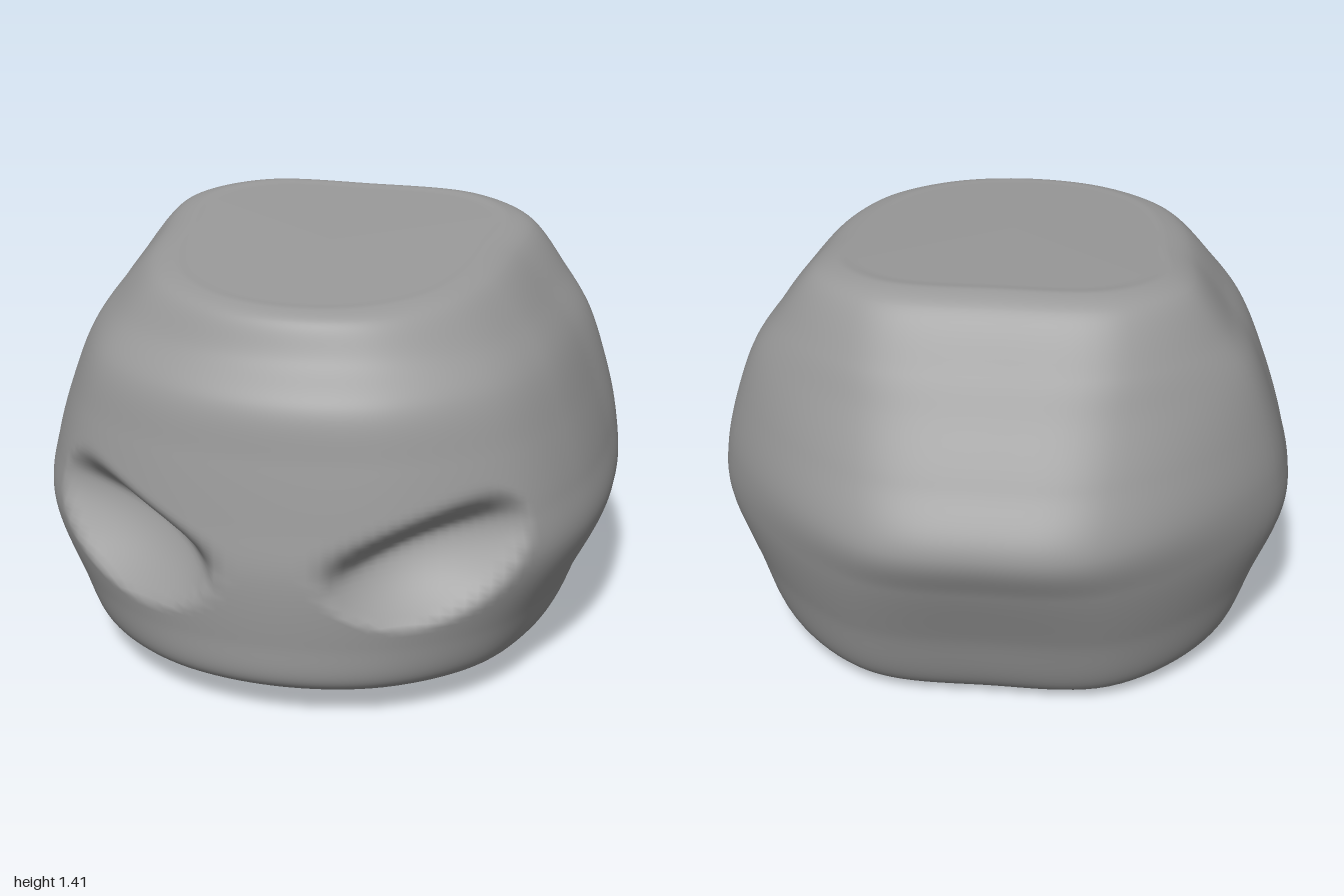
import * as THREE from 'three';

// Horizontal sections from bottom to top; pinch is the width at the rear end
// of the side face, corner the width of the back face, both relative to width
const SECTIONS = [
  { yFront: 0.085, yBack: 0, width: 0.67, front: 0.86, back: 0.64, pinch: 0.94, corner: 0.52 },
  { yFront: 0.145, yBack: 0.05, width: 0.8, front: 0.965, back: 0.735, pinch: 0.94, corner: 0.54 },
  { yFront: 0.3, yBack: 0.3, width: 0.895, front: 0.99, back: 0.84, pinch: 0.95, corner: 0.5 },
  { yFront: 0.53, yBack: 0.53, width: 0.99, front: 1, back: 0.94, pinch: 0.94, corner: 0.43 },
  { yFront: 0.7, yBack: 0.7, width: 0.965, front: 0.975, back: 1, pinch: 0.965, corner: 0.41 },
  { yFront: 0.9, yBack: 0.9, width: 0.905, front: 0.94, back: 0.89, pinch: 0.98, corner: 0.46 },
  { yFront: 1.08, yBack: 1.08, width: 0.83, front: 0.9, back: 0.775, pinch: 0.99, corner: 0.51 },
  { yFront: 1.2, yBack: 1.2, width: 0.745, front: 0.8, back: 0.7, pinch: 1, corner: 0.58 },
  { yFront: 1.31, yBack: 1.375, width: 0.62, front: 0.738, back: 0.575, pinch: 1.01, corner: 0.66 },
  { yFront: 1.335, yBack: 1.41, width: 0.54, front: 0.69, back: 0.5, pinch: 1.02, corner: 0.7 },
];
const COLUMNS = 144;
const STEPS = 12; // rows between neighbouring sections

// Smoothly closed outline: round front, flat sides, slanted rear corners
function sectionLoop({ yFront, yBack, width, front, back, pinch, corner }) {
  const half = [
    [0, front], [0.44 * width, 0.925 * front], [0.78 * width, 0.7 * front], [0.94 * width, 0.4 * front],
    [width, 0], [pinch * width, -Math.min(0.37, 0.6 * back)], [corner * width, -0.945 * back], [0, -back],
  ];
  const toPoint = (sign) => ([x, z]) =>
    new THREE.Vector3(sign * x, THREE.MathUtils.lerp(yBack, yFront, (z + back) / (front + back)), z);
  const left = half.map(toPoint(1));
  const right = half.slice(1, -1).reverse().map(toPoint(-1));
  const curve = new THREE.CatmullRomCurve3([...left, ...right], true);
  return Array.from({ length: COLUMNS }, (_, i) => curve.getPoint(i / COLUMNS));
}

// Shrinks a rim toward a centre to close the top or the bottom
const shrink = (loop, centre, k) => loop.map((p) => centre.clone().lerp(p, k));

// Slanted eye sockets: a tilted bowl, cut off above by a straight brow
function carveSocket(p) {
  if (p.z < 0.2) return;
  const x = Math.abs(p.x), dx = x - 0.475, dy = p.y - 0.61;
  const u = (0.978 * dx + 0.208 * dy) / 0.32;
  const v = (0.978 * dy - 0.208 * dx) / 0.24;
  const bowl = Math.max(0, 1 - u * u - v * v);
  const brow = THREE.MathUtils.smoothstep(0.64 + 0.4 * (x - 0.17) - p.y, 0, 0.19);
  const depth = 0.19 * bowl * brow;
  p.x -= Math.sign(p.x) * depth * 0.4;
  p.z -= depth * 0.9;
}

function headGeometry() {
  const loops = SECTIONS.map(sectionLoop);
  const base = new THREE.Vector3(0, 0.025, 0), crown = new THREE.Vector3(0, 1.382, 0.1);
  const bottom = loops[0], top = loops[loops.length - 1];
  const rings = [
    ...[0, 0.5, 0.9].map((k) => shrink(bottom, base, k)),
    ...loops,
    ...[0.9, 0.5, 0].map((k) => shrink(top, crown, k)),
  ];
  const rows = (rings.length - 1) * STEPS;
  const columns = Array.from({ length: COLUMNS }, (_, c) =>
    new THREE.CatmullRomCurve3(rings.map((ring) => ring[c])));

  const positions = [], indices = [];
  for (let r = 0; r <= rows; r++) {
    for (let c = 0; c < COLUMNS; c++) {
      const p = columns[c].getPoint(r / rows);
      carveSocket(p);
      positions.push(p.x, p.y, p.z);
      if (r === rows) continue;
      const next = (c + 1) % COLUMNS;
      const a = r * COLUMNS + c, b = r * COLUMNS + next;
      if (r > 0) indices.push(a, b, a + COLUMNS);
      if (r < rows - 1) indices.push(b, b + COLUMNS, a + COLUMNS);
    }
  }
  const geometry = new THREE.BufferGeometry();
  geometry.setAttribute('position', new THREE.Float32BufferAttribute(positions, 3));
  geometry.setIndex(indices);
  geometry.computeVertexNormals();
  return geometry;
}

export function createModel() {
  const group = new THREE.Group();
  group.name = 'model';
  const head = new THREE.Mesh(headGeometry(), new THREE.MeshStandardMaterial({ color: 0x999999 }));
  head.name = 'head';
  group.add(head);
  return group;
}
